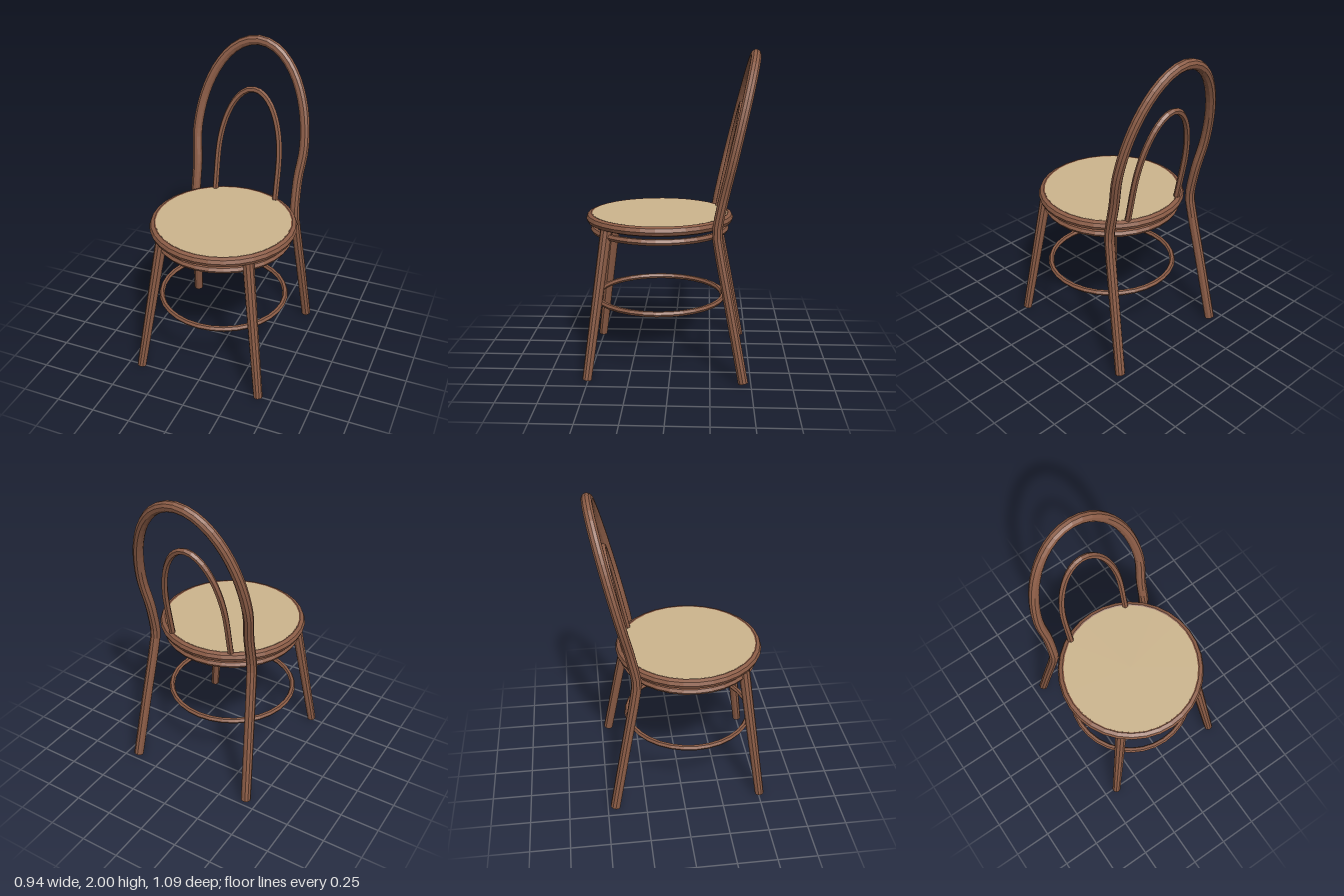
import * as THREE from 'three';

const V = (x, y, z) => new THREE.Vector3(x, y, z);
const SEAT_Z = 0.078;

export function createModel() {
  const wood = new THREE.MeshStandardMaterial({ color: 0x8b5c46 });
  wood.name = 'bentwood brown';
  wood.flatShading = true;
  const cane = new THREE.MeshStandardMaterial({ color: 0xcdb68e });
  cane.name = 'cane tan';

  const chair = new THREE.Group();
  chair.name = 'chair';

  const add = (name, geometry, material, parent = chair) => {
    const mesh = new THREE.Mesh(geometry, material);
    mesh.name = name;
    parent.add(mesh);
    return mesh;
  };

  // Horizontal wooden hoop around the seat axis
  const ring = (name, y, radius, tube, sides) => {
    const g = new THREE.TorusGeometry(radius, tube, sides, 32);
    g.rotateX(Math.PI / 2);
    g.translate(0, y, SEAT_Z);
    add(name, g, wood);
  };

  // Bent rod, symmetric in x, from the points of its left half (bottom to top), with closed ends
  const bentRod = (name, half, radius, sides, segments) => {
    const group = new THREE.Group();
    group.name = name;
    const mirrored = half.slice(0, -1).reverse().map((p) => V(-p.x, p.y, p.z));
    const curve = new THREE.CatmullRomCurve3([...half, ...mirrored], false, 'centripetal');
    add(name + 'Rod', new THREE.TubeGeometry(curve, segments, radius, sides), wood, group);
    for (const t of [0, 1]) {
      const cap = add(name + 'End', new THREE.CircleGeometry(radius, sides), wood, group);
      const out = curve.getTangentAt(t).multiplyScalar(t ? 1 : -1);
      cap.position.copy(curve.getPointAt(t));
      cap.quaternion.setFromUnitVectors(V(0, 0, 1), out);
    }
    chair.add(group);
  };

  // Points of a leaning half-ellipse, from the side up to the crown
  const arch = (a, b, y0, zAt, n) =>
    Array.from({ length: n + 1 }, (_, i) => {
      const t = (i / n) * Math.PI / 2;
      const y = y0 + b * Math.sin(t);
      return V(i === n ? 0 : a * Math.cos(t), y, zAt(y));
    });

  // Seat frame, panel and lower hoops
  ring('seatFrame', 0.953, 0.437, 0.031, 8);
  ring('seatApron', 0.883, 0.42, 0.021, 6);
  ring('stretcherRing', 0.433, 0.408, 0.018, 6);
  const panel = add('seatPanel', new THREE.CylinderGeometry(0.429, 0.429, 0.035, 32), cane);
  panel.position.set(0, 0.9645, SEAT_Z);

  // Back legs and outer back bow as one bent rod
  const backZ = (y) => -0.325 - 0.232 * (y - 1.15);
  bentRod('backLegsAndBow', [
    V(0.425, 0.006, -0.452),
    V(0.391, 0.45, -0.369),
    V(0.359, 0.85, -0.294),
    V(0.354, 0.93, -0.285),
    V(0.353, 1.13, -0.321),
    V(0.356, 1.18, backZ(1.18)),
    ...arch(0.371, 0.64, 1.33, backZ, 8),
  ], 0.032, 10, 72);

  // Inner back bow rising from the seat frame
  const innerZ = (y) => -0.296 - 0.203 * (y - 0.98);
  bentRod('innerBow', [
    V(0.213, 0.95, innerZ(0.95)),
    V(0.213, 1.08, innerZ(1.08)),
    ...arch(0.213, 0.468, 1.2, innerZ, 8),
  ], 0.02, 6, 40);

  // Splayed, slightly tapered front legs
  for (const side of [1, -1]) {
    const foot = V(side * 0.412, 0.005, 0.507);
    const top = V(side * 0.288, 0.925, 0.388);
    const axis = top.clone().sub(foot);
    const leg = add(side > 0 ? 'leftFrontLeg' : 'rightFrontLeg',
      new THREE.CylinderGeometry(0.036, 0.029, axis.length(), 10), wood);
    leg.position.copy(foot).add(top).multiplyScalar(0.5);
    leg.quaternion.setFromUnitVectors(V(0, 1, 0), axis.normalize());
  }

  return chair;
}
